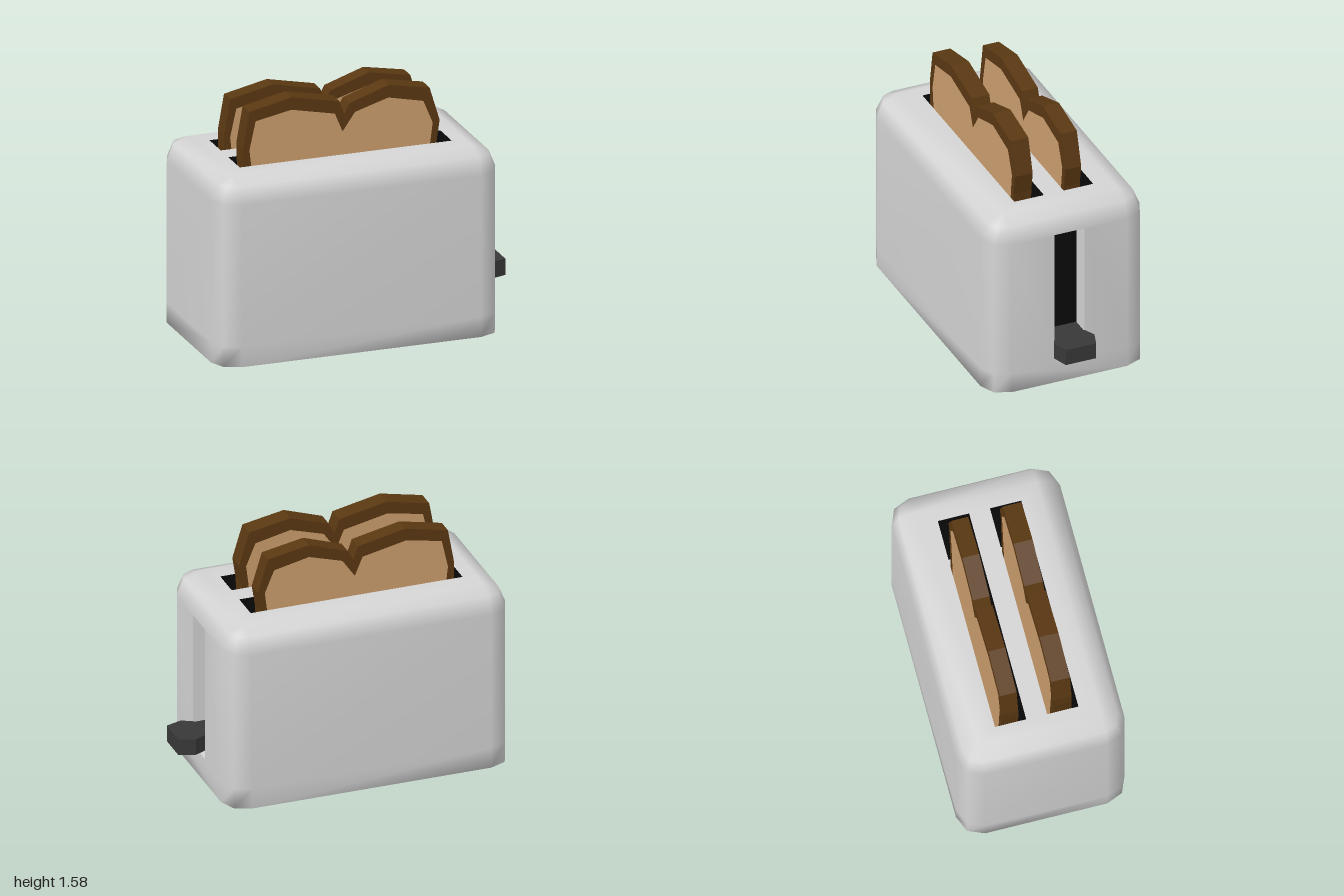
import * as THREE from 'three';
import { mergeGeometries, mergeVertices } from 'three/addons/utils/BufferGeometryUtils.js';

const mat = (name, color) => {
  const m = new THREE.MeshStandardMaterial({ color });
  m.name = name;
  return m;
};

// Body dimensions
const CX = -0.085, HX = 0.915, HZ = 0.525, TOP = 1.18, R = 0.145;
const SLOT = { x0: -0.77, x1: 0.595, z0: 0.065, z1: 0.26, floor: 0.45 };
const SIDE = { half: 0.1, y0: 0.16, y1: TOP - R, depth: 0.12 };

const shapeOf = pts => new THREE.Shape(pts.map(([x, y]) => new THREE.Vector2(x, y)));

// Rounded rectangle, counter-clockwise from above, as [x, -z]
function ring(r) {
  const pts = [];
  for (let k = 0; k < 4; k++) {
    const sx = k === 0 || k === 3 ? 1 : -1, sy = k < 2 ? 1 : -1;
    for (let j = 0; j < 3; j++) {
      const a = (k + j / 2) * Math.PI / 2;
      pts.push([CX + sx * (HX - R) + r * Math.cos(a), sy * (HZ - R) + r * Math.sin(a)]);
    }
  }
  return pts;
}

// Shell with bevelled edges, two openings on top and one on the lever side
function shellGeometry() {
  const c = Math.SQRT1_2 * R;
  const levels = [[0, R], [0.13, R], [TOP - R, R], [TOP - R + c, c], [TOP, 0]];
  const pos = [], index = [];
  for (const [y, r] of levels) for (const [x, s] of ring(r)) pos.push(x, y, -s);
  for (let l = 0; l < levels.length - 1; l++) {
    for (let i = 0; i < 12; i++) {
      if (l < 2 && i === 11) continue; // slotted lever side
      const a = l * 12 + i, b = l * 12 + (i + 1) % 12;
      index.push(a, b, b + 12, a, b + 12, a + 12);
    }
  }
  const walls = new THREE.BufferGeometry();
  walls.setAttribute('position', new THREE.Float32BufferAttribute(pos, 3));
  walls.setIndex(index);

  const hx = HX - R, hz = HZ - R;
  const topShape = shapeOf([[CX - hx, -hz], [CX + hx, -hz], [CX + hx, hz], [CX - hx, hz]]);
  for (const [a, b] of [[SLOT.z0, SLOT.z1], [-SLOT.z1, -SLOT.z0]]) {
    topShape.holes.push(shapeOf([[SLOT.x0, a], [SLOT.x0, b], [SLOT.x1, b], [SLOT.x1, a]]));
  }
  const top = new THREE.ShapeGeometry(topShape).rotateX(-Math.PI / 2).translate(0, TOP, 0);
  const bottom = new THREE.ShapeGeometry(shapeOf(ring(R))).rotateX(Math.PI / 2);

  const { half: h, y0, y1 } = SIDE;
  const side = new THREE.ShapeGeometry(shapeOf([
    [-hz, 0], [hz, 0], [hz, 0.13], [hz, y1], [h, y1], [h, y0], [-h, y0], [-h, y1], [-hz, y1], [-hz, 0.13],
  ])).rotateY(Math.PI / 2).translate(CX + HX, 0, 0);

  const parts = [walls, top, bottom, side].map(g => {
    g.deleteAttribute('normal');
    g.deleteAttribute('uv');
    return g.toNonIndexed();
  });
  const shell = mergeVertices(mergeGeometries(parts), 1e-3);
  shell.computeVertexNormals();
  return shell;
}

// Inward-facing box without one face (face order +x -x +y -y +z -z)
function pit(min, max, open, materials) {
  const size = max.map((v, i) => v - min[i]);
  const g = new THREE.BoxGeometry(...size);
  g.translate(...max.map((v, i) => (v + min[i]) / 2));
  g.setIndex(Array.from(g.index.array).reverse());
  const n = g.attributes.normal;
  for (let i = 0; i < n.array.length; i++) n.array[i] *= -1;
  // reversing the index also reverses the order of the faces
  g.clearGroups();
  for (let f = 0; f < 6; f++) if (f !== open) g.addGroup((5 - f) * 6, 6, f);
  return new THREE.Mesh(g, materials);
}

// Slice outlines, left to right over the two crowns
const CRUST = [[-0.69, 0.5], [-0.735, 1.2], [-0.735, 1.29], [-0.695, 1.515], [-0.42, 1.575], [-0.115, 1.51],
  [-0.085, 1.425], [-0.05, 1.49], [0.2, 1.575], [0.465, 1.525], [0.53, 1.31], [0.51, 1.18], [0.47, 0.5]];
const CRUMB = [[-0.64, 0.57], [-0.685, 1.18], [-0.695, 1.27], [-0.655, 1.45], [-0.425, 1.495], [-0.145, 1.435],
  [-0.095, 1.315], [-0.015, 1.43], [0.2, 1.495], [0.425, 1.445], [0.485, 1.3], [0.47, 1.18], [0.42, 0.57]];

function toast(crustMat, breadMat, depth) {
  const slice = new THREE.Group();
  const opts = { depth, bevelEnabled: false };
  const rim = shapeOf(CRUST);
  rim.holes.push(shapeOf(CRUMB));
  const crust = new THREE.Mesh(new THREE.ExtrudeGeometry(rim, opts), crustMat);
  crust.name = 'crust';
  const bread = new THREE.Mesh(new THREE.ExtrudeGeometry(shapeOf(CRUMB), opts), breadMat);
  bread.name = 'bread';
  slice.add(crust, bread);
  return slice;
}

export function createModel() {
  const model = new THREE.Group();
  model.name = 'toaster';
  const steel = mat('light grey body', 0xd4d4d4);
  const black = mat('black interior', 0x0a0a0a);
  const plastic = mat('dark grey lever', 0x383838);
  const crustMat = mat('brown crust', 0x5a3812);
  const breadMat = mat('tan bread', 0xcc9e6e);
  const add = (obj, name) => {
    obj.name = name;
    model.add(obj);
    return obj;
  };

  add(new THREE.Mesh(shellGeometry(), steel), 'body');

  // Bread slots: dark walls, grey floor
  const slotMats = [black, black, black, steel, black, black];
  for (const [a, b, name] of [[SLOT.z0, SLOT.z1, 'frontSlot'], [-SLOT.z1, -SLOT.z0, 'backSlot']]) {
    add(pit([SLOT.x0, SLOT.floor, a], [SLOT.x1, TOP, b], 2, slotMats), name);
  }

  // Lever slot: grey walls, black back
  const face = CX + HX;
  add(pit([face - SIDE.depth, SIDE.y0, -SIDE.half], [face, SIDE.y1, SIDE.half], 0,
    [steel, black, steel, steel, steel, steel]), 'leverSlot');

  // Six-sided lever knob with a stem reaching into the slot
  const knob = shapeOf([[0.83, -0.1], [0.9, -0.133], [1, -0.1], [1, 0.1], [0.9, 0.133], [0.83, 0.1]]);
  const knobGeo = new THREE.ExtrudeGeometry(knob, { depth: 0.105, bevelEnabled: false });
  add(new THREE.Mesh(knobGeo.rotateX(-Math.PI / 2).translate(0, 0.215, 0), plastic), 'leverKnob');
  const stem = add(new THREE.Mesh(new THREE.BoxGeometry(0.12, 0.1, 0.19), plastic), 'leverStem');
  stem.position.set(0.775, 0.267, 0);

  // Toast slices
  add(toast(crustMat, breadMat, 0.117), 'frontToast').position.set(0, 0, 0.11);
  add(toast(crustMat, breadMat, 0.105), 'backToast').position.set(0, -0.03, -0.21);
  return model;
}
